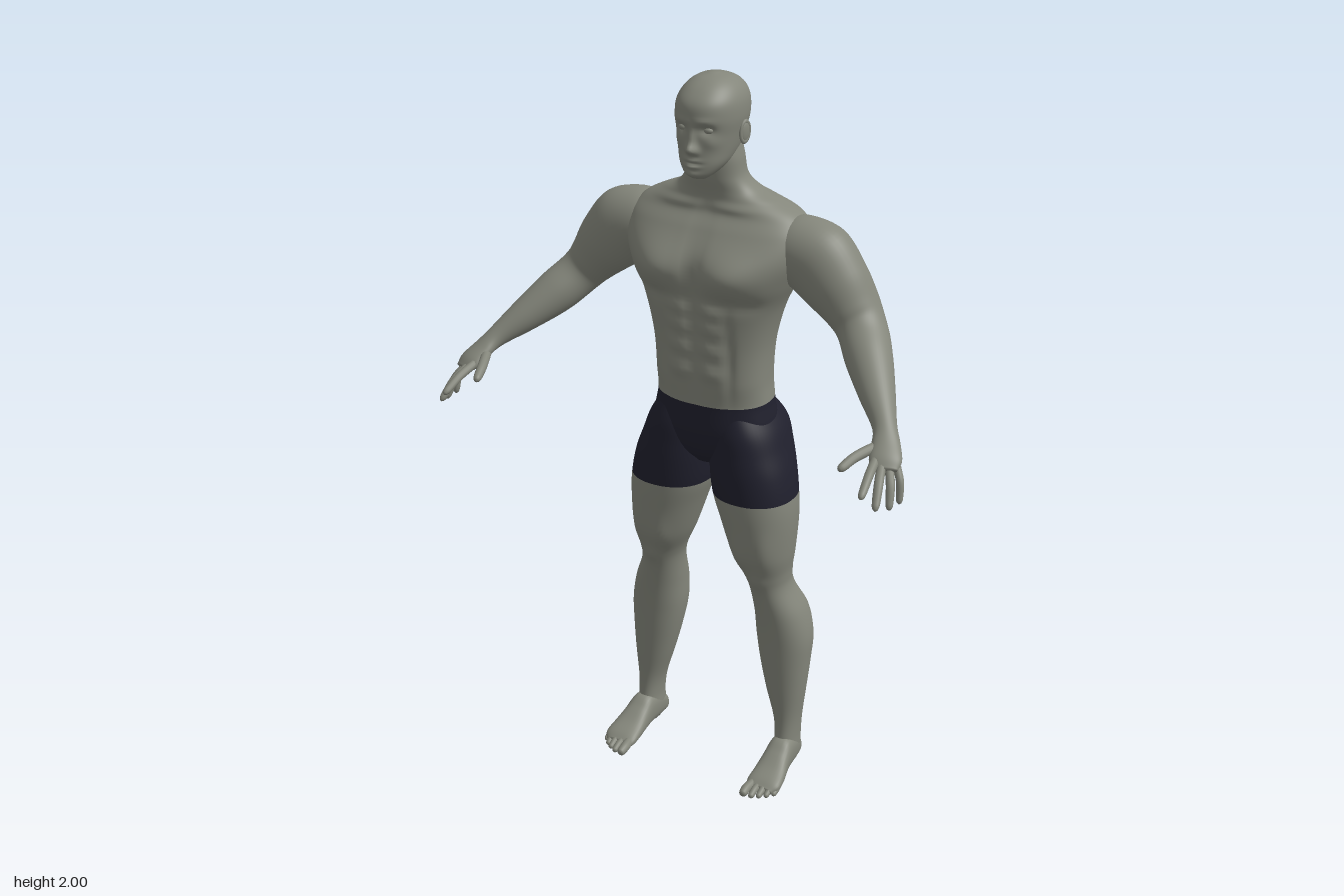
import * as THREE from 'three';

const skin = new THREE.MeshStandardMaterial({ color: 0x84867b });
skin.name = 'skin grey';
const cloth = new THREE.MeshStandardMaterial({ color: 0x20202d });
cloth.name = 'shorts navy';

const STEPS = 7; // rows between two key sections
const V = (x, y, z) => new THREE.Vector3(x, y, z);

// Smooth skin over key sections { c: centre, u, v: half axes, n: squareness }.
// bumps: [x, y, spreadX, spreadY, height, face] push the front (1) or back (-1) along z.
// The first clothRows key spans get the cloth material.
function loft(name, keys, { segs = 32, bumps = [], clothRows = 0 } = {}) {
  const curve = (f) => new THREE.CatmullRomCurve3(keys.map(f), false, 'catmullrom', 0.5);
  const C = curve((k) => k.c), U = curve((k) => k.u), W = curve((k) => k.v);
  const rows = (keys.length - 1) * STEPS;
  const pos = [], index = [];
  const pw = (a, n) => Math.sign(a) * Math.abs(a) ** (2 / n);
  for (let r = 0; r <= rows; r++) {
    const t = r / rows, i = Math.min(Math.floor(r / STEPS), keys.length - 2);
    const n = THREE.MathUtils.lerp(keys[i].n, keys[i + 1].n, r / STEPS - i);
    const c = C.getPoint(t), u = U.getPoint(t), v = W.getPoint(t);
    for (let s = 0; s < segs; s++) {
      const a = (s / segs) * Math.PI * 2, sn = Math.sin(a);
      const p = c.clone().addScaledVector(u, pw(Math.cos(a), n)).addScaledVector(v, pw(sn, n));
      let dz = 0;
      for (const [x, y, sx, sy, h, face] of bumps) {
        const w = Math.min(1, Math.max(0, face * sn) * 1.6);
        dz += face * h * w * Math.exp(-(((Math.abs(p.x) - x) / sx) ** 2) - ((p.y - y) / sy) ** 2);
      }
      pos.push(p.x, p.y, p.z + dz);
    }
  }
  const first = keys[0], last = keys[keys.length - 1];
  pos.push(...first.c.toArray(), ...last.c.toArray());
  const mid = keys[keys.length >> 1];
  const flip = mid.u.clone().cross(mid.v).dot(last.c.clone().sub(first.c)) < 0;
  const tri = (a, b, c) => (flip ? index.push(a, c, b) : index.push(a, b, c));
  const cap0 = (rows + 1) * segs;
  for (let s = 0; s < segs; s++) tri(cap0, (s + 1) % segs, s);
  for (let r = 0; r < rows; r++) {
    for (let s = 0; s < segs; s++) {
      const a = r * segs + s, b = r * segs + ((s + 1) % segs);
      tri(a, b, b + segs);
      tri(a, b + segs, a + segs);
    }
  }
  for (let s = 0; s < segs; s++) tri(cap0 + 1, rows * segs + s, rows * segs + ((s + 1) % segs));
  const g = new THREE.BufferGeometry();
  g.setAttribute('position', new THREE.Float32BufferAttribute(pos, 3));
  g.setIndex(index);
  g.computeVertexNormals();
  let material = skin;
  if (clothRows) {
    const cut = (segs + clothRows * STEPS * segs * 2) * 3;
    g.addGroup(0, cut, 0);
    g.addGroup(cut, index.length - cut, 1);
    material = [cloth, skin];
  }
  const mesh = new THREE.Mesh(g, material);
  mesh.name = name;
  return mesh;
}

// Horizontal section from its outline: height, right edge, left edge, front, back
const flat = (y, x0, x1, zf, zb, n = 2.2) => ({
  c: V((x0 + x1) / 2, y, (zf + zb) / 2), u: V(Math.abs(x1 - x0) / 2, 0, 0), v: V(0, 0, (zf - zb) / 2), n,
});

// Sections square to a path of [x, y, z, radius across, radius upright]
function along(path, side) {
  const pts = path.map(([x, y, z]) => V(x * side, y, z));
  return path.map(([, , , ru, rv = ru], i) => {
    const t = pts[Math.min(i + 1, pts.length - 1)].clone().sub(pts[Math.max(i - 1, 0)]).normalize();
    const u = t.clone().cross(V(0, 1, 0)).normalize();
    return { c: pts[i], u: u.clone().multiplyScalar(ru), v: u.clone().cross(t).multiplyScalar(rv), n: 2 };
  });
}

// Finger or toe: root, joint and a rounded tip
function digit(name, root, joint, tip, r, side) {
  const mix = (k) => joint.map((q, i) => q + (tip[i] - q) * k);
  const path = [[...root, r], [...joint, r], [...mix(0.7), r * 0.88], [...mix(0.92), r * 0.6], [...tip, r * 0.12]];
  return loft(name, along(path, side), { segs: 12 });
}

function makeTorso() {
  const rows = [
    [0.95, 0.05, -0.05, -0.17], [0.99, 0.12, -0.02, -0.2], [1.05, 0.17, -0.005, -0.232],
    [1.135, 0.16, -0.005, -0.236], [1.2, 0.156, 0, -0.226], [1.3, 0.162, 0.005, -0.23],
    [1.4, 0.186, 0.012, -0.243], [1.48, 0.222, 0.015, -0.252], [1.55, 0.248, 0.008, -0.258],
    [1.61, 0.25, -0.025, -0.25], [1.65, 0.22, -0.055, -0.235], [1.68, 0.165, -0.062, -0.218],
    [1.705, 0.112, -0.06, -0.2], [1.74, 0.082, -0.052, -0.18], [1.79, 0.074, -0.048, -0.172],
    [1.83, 0.066, -0.055, -0.165],
  ];
  const bumps = [
    [0.1, 1.51, 0.085, 0.055, 0.034, 1], // chest
    [0.12, 1.435, 0.07, 0.02, -0.008, 1], // crease under chest
    [0, 1.42, 0.014, 0.2, -0.011, 1], // midline
    [0.08, 1.665, 0.07, 0.012, 0.006, 1], // collarbone
    [0.095, 1.28, 0.013, 0.11, -0.007, 1], // side of belly
    [0, 1.42, 0.026, 0.24, -0.022, -1], // spine
    [0.15, 1.56, 0.07, 0.09, 0.02, -1], // shoulder blades
    [0.055, 1.24, 0.03, 0.12, 0.008, -1], // lower back
  ];
  for (const y of [1.235, 1.3, 1.36, 1.41]) bumps.push([0.045, y, 0.03, 0.02, 0.01, 1]); // abdominals
  return loft('torso', rows.map(([y, w, f, b]) => flat(y, -w, w, f, b, y > 1.15 && y < 1.66 ? 2.6 : 2.3)),
    { segs: 96, bumps, clothRows: 3 });
}

function makeHead() {
  const head = new THREE.Group();
  head.name = 'head';
  const rows = [
    [1.752, 0.022, -0.005, -0.04], [1.765, 0.04, 0.01, -0.08], [1.79, 0.06, 0.013, -0.125],
    [1.82, 0.071, 0.012, -0.165], [1.86, 0.079, 0.012, -0.19], [1.9, 0.085, 0.017, -0.204],
    [1.94, 0.082, 0.012, -0.203], [1.97, 0.067, -0.014, -0.184], [1.99, 0.042, -0.048, -0.15],
    [2, 0.008, -0.085, -0.105],
  ];
  const bumps = [
    [0, 1.833, 0.013, 0.014, 0.022, 1], [0, 1.857, 0.009, 0.022, 0.012, 1], // nose
    [0.012, 1.828, 0.008, 0.008, 0.006, 1], // nostrils
    [0.034, 1.88, 0.018, 0.012, -0.012, 1], // eye sockets
    [0.03, 1.902, 0.025, 0.008, 0.004, 1], // brows
    [0.05, 1.848, 0.018, 0.016, 0.005, 1], // cheekbones
    [0, 1.803, 0.02, 0.006, 0.007, 1], [0, 1.788, 0.018, 0.006, 0.008, 1], // lips
    [0, 1.7955, 0.022, 0.003, -0.005, 1], // mouth line
    [0, 1.767, 0.02, 0.01, 0.006, 1], // chin
  ];
  head.add(loft('skull', rows.map(([y, w, f, b]) => flat(y, -w, w, f, b)), { segs: 112, bumps }));
  for (const s of [1, -1]) {
    const eye = new THREE.Mesh(new THREE.SphereGeometry(0.012, 20, 14), skin);
    eye.name = 'eye';
    eye.position.set(0.034 * s, 1.879, -0.0095);
    eye.scale.set(1.2, 0.8, 1);
    const ear = new THREE.Group();
    ear.name = 'ear';
    const lobe = new THREE.Mesh(new THREE.SphereGeometry(1, 20, 14), skin);
    lobe.name = 'earInner';
    lobe.scale.set(0.006, 0.026, 0.015);
    const rim = new THREE.Mesh(new THREE.TorusGeometry(0.015, 0.004, 8, 24), skin);
    rim.name = 'earRim';
    rim.rotation.y = Math.PI / 2;
    rim.scale.y = 1.65;
    ear.add(lobe, rim);
    ear.position.set(0.087 * s, 1.86, -0.1);
    ear.rotation.set(-0.15, -0.3 * s, 0);
    head.add(eye, ear);
  }
  return head;
}

function makeArm(side) {
  const arm = new THREE.Group();
  arm.name = side > 0 ? 'leftArm' : 'rightArm';
  // Shoulder, elbow, wrist and palm
  arm.add(loft('armAndPalm', along([
    [0.15, 1.59, -0.145, 0.06, 0.05], [0.215, 1.57, -0.143, 0.084, 0.088], [0.28, 1.545, -0.14, 0.087, 0.102],
    [0.335, 1.49, -0.137, 0.083, 0.09], [0.385, 1.432, -0.133, 0.075, 0.07], [0.422, 1.388, -0.112, 0.065, 0.06],
    [0.465, 1.342, -0.06, 0.06, 0.058], [0.52, 1.288, 0.008, 0.046, 0.044], [0.57, 1.24, 0.07, 0.031, 0.028],
    [0.592, 1.213, 0.107, 0.035, 0.021], [0.608, 1.188, 0.143, 0.04, 0.018], [0.617, 1.172, 0.166, 0.03, 0.009],
  ], side), { segs: 40 }));
  const fingers = [
    ['thumb', [0.578, 1.208, 0.108], [0.546, 1.197, 0.178], [0.527, 1.18, 0.235], 0.013],
    ['indexFinger', [0.587, 1.188, 0.155], [0.596, 1.171, 0.212], [0.605, 1.14, 0.275], 0.0115],
    ['middleFinger', [0.604, 1.181, 0.155], [0.62, 1.153, 0.205], [0.634, 1.105, 0.252], 0.0115],
    ['ringFinger', [0.621, 1.174, 0.148], [0.639, 1.142, 0.178], [0.65, 1.09, 0.205], 0.011],
    ['littleFinger', [0.634, 1.171, 0.131], [0.65, 1.138, 0.145], [0.655, 1.086, 0.156], 0.01],
  ];
  for (const f of fingers) arm.add(digit(...f, side));
  return arm;
}

function makeLeg(side) {
  const leg = new THREE.Group();
  leg.name = side > 0 ? 'leftLeg' : 'rightLeg';
  // Height, outer edge, inner edge, front, back
  const rows = [
    [1.125, 0.14, 0.03, -0.03, -0.215], [1.06, 0.184, 0.004, -0.01, -0.26], [1, 0.207, 0, -0.004, -0.256],
    [0.94, 0.227, 0.002, 0, -0.24], [0.87, 0.24, 0.012, 0, -0.228], [0.8, 0.243, 0.035, -0.005, -0.222],
    [0.7, 0.236, 0.07, -0.018, -0.21], [0.63, 0.226, 0.102, -0.046, -0.2], [0.58, 0.229, 0.115, -0.062, -0.203],
    [0.5, 0.262, 0.12, -0.076, -0.232], [0.42, 0.279, 0.123, -0.085, -0.238], [0.34, 0.277, 0.136, -0.09, -0.224],
    [0.25, 0.27, 0.158, -0.095, -0.208], [0.16, 0.26, 0.185, -0.1, -0.2], [0.1, 0.257, 0.193, -0.096, -0.197],
    [0.05, 0.257, 0.192, -0.085, -0.198], [0.012, 0.247, 0.2, -0.095, -0.192],
  ];
  const bumps = [
    [0.165, 0.62, 0.025, 0.03, 0.008, 1], // kneecap
    [0.12, 0.7, 0.025, 0.05, 0.006, 1], [0.2, 0.73, 0.025, 0.06, 0.005, 1], // thigh muscles
    [0.16, 0.46, 0.028, 0.06, 0.008, -1], [0.235, 0.47, 0.025, 0.06, 0.006, -1], // calf muscles
  ];
  leg.add(loft('legAndShorts', rows.map(([y, o, i, f, b]) => flat(y, o * side, i * side, f, b)),
    { segs: 56, bumps, clothRows: 4 }));
  // Foot: z, centre x, half width, height
  const foot = [
    [-0.202, 0.222, 0.012, 0.035], [-0.19, 0.222, 0.027, 0.06], [-0.15, 0.225, 0.034, 0.09],
    [-0.1, 0.228, 0.037, 0.1], [-0.06, 0.23, 0.041, 0.077], [-0.02, 0.233, 0.047, 0.053],
    [0.02, 0.234, 0.049, 0.036], [0.042, 0.23, 0.038, 0.022],
  ];
  leg.add(loft('foot', foot.map(([z, x, w, h]) => ({
    c: V(x * side, h / 2 + 0.004, z), u: V(w, 0, 0), v: V(0, h / 2, 0), n: 2.5,
  }))));
  const toes = [[0.2, 0.085, 0.0135], [0.223, 0.08, 0.01], [0.242, 0.07, 0.0095], [0.259, 0.057, 0.009], [0.274, 0.04, 0.009]];
  for (const [x, z, r] of toes) {
    leg.add(digit('toe', [x * 0.8 + 0.045, 0.02, z - 0.065], [x, 0.019, z - 0.03], [x, r, z], r, side));
  }
  return leg;
}

export function createModel() {
  const model = new THREE.Group();
  model.name = 'athlete';
  model.add(makeTorso(), makeHead());
  for (const side of [1, -1]) model.add(makeArm(side), makeLeg(side));
  return model;
}
